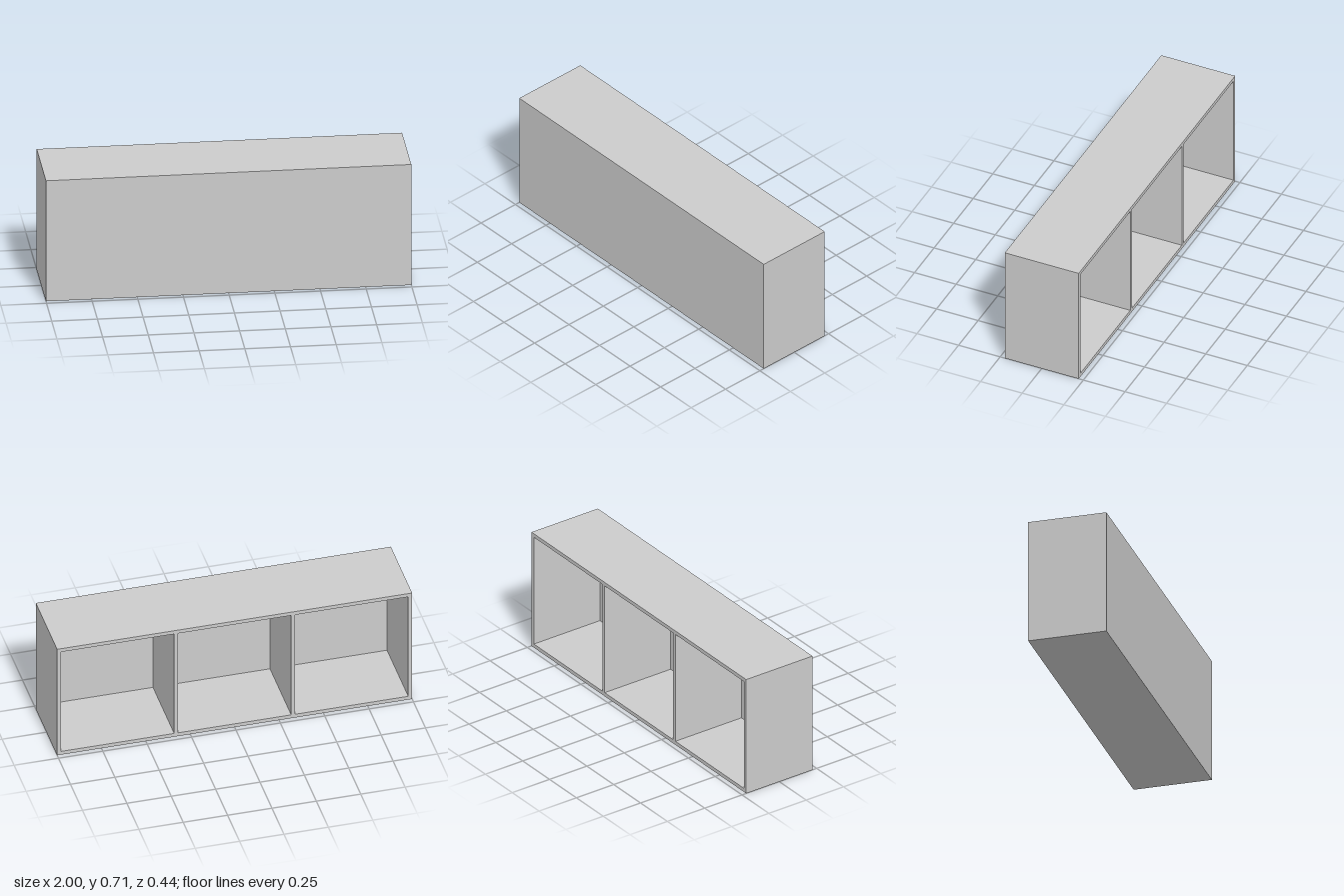
import * as THREE from 'three';

const W = 2, H = 0.712, D = 0.444; // overall size
const T = 0.0222;                  // board thickness
const FRONT = 0.002;               // thin front sheet
const BAYS = 3;

export function createModel() {
  const group = new THREE.Group();
  const material = new THREE.MeshStandardMaterial({ color: 0xcccccc, flatShading: true });

  const board = (name, w, h, d, x, y, z) => {
    const mesh = new THREE.Mesh(new THREE.BoxGeometry(w, h, d), material);
    mesh.name = name;
    mesh.position.set(x, y, z);
    group.add(mesh);
  };

  const depth = D - FRONT, z = -FRONT / 2;

  // Top and bottom boards run the full width
  board('bottomBoard', W, T, depth, 0, T / 2, z);
  board('topBoard', W, T, depth, 0, H - T / 2, z);

  // Side walls and evenly spaced dividers stand between them
  for (let i = 0; i <= BAYS; i++) {
    const x = -W / 2 + T / 2 + (i * (W - T)) / BAYS;
    const name = i === 0 ? 'rightSide' : i === BAYS ? 'leftSide' : `divider${i}`;
    board(name, T, H - 2 * T, depth, x, H / 2, z);
  }

  // Closed front; the back stays open
  board('frontPanel', W, H, FRONT, 0, H / 2, D / 2 - FRONT / 2);

  return group;
}
